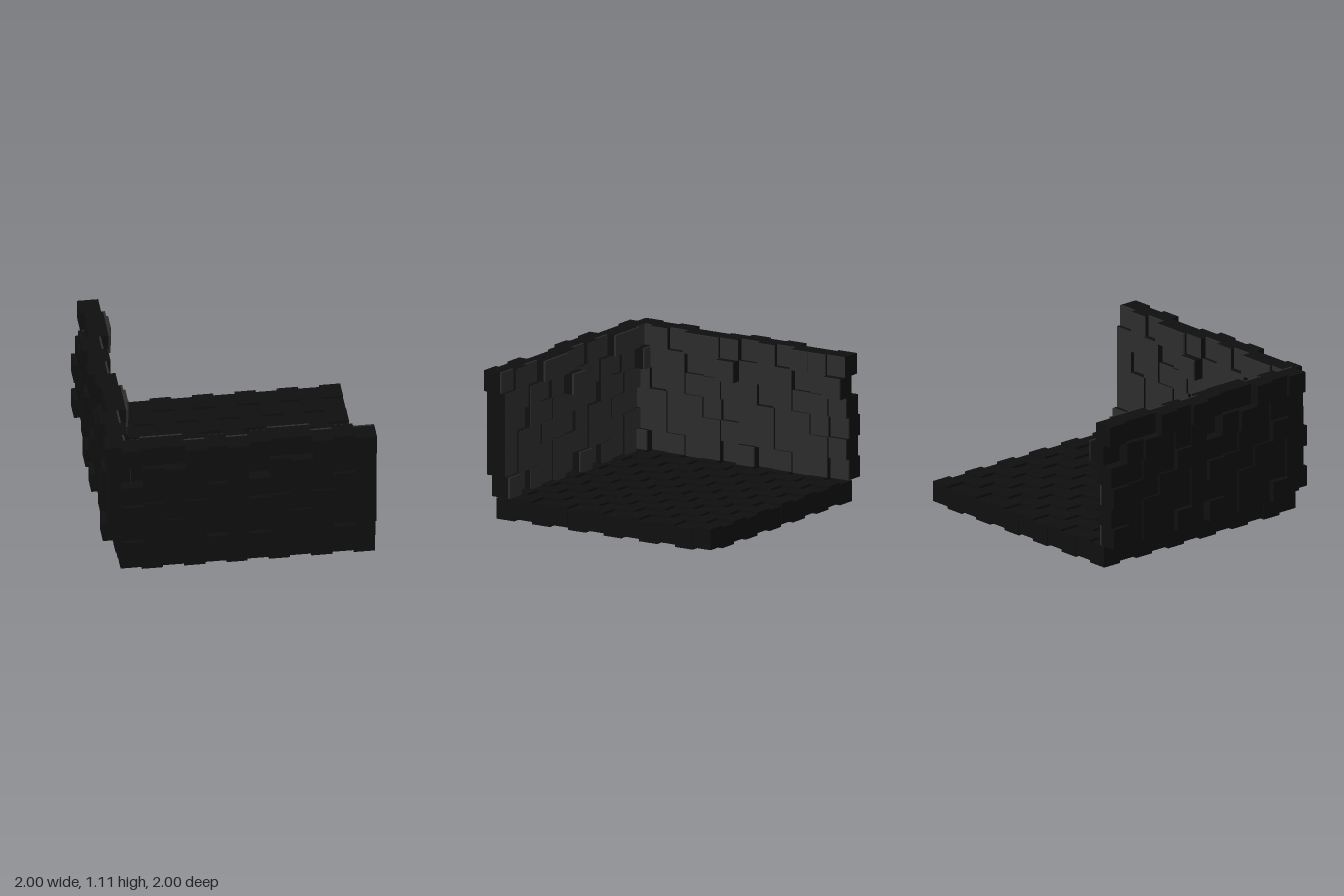
import * as THREE from 'three';

const PITCH = 0.1575, SIZE = 0.157, COUNT = 12;
const START_X = -0.89, START_Z = -1, WALL_BASE = 0.165;

const stone = new THREE.MeshStandardMaterial({ color: 0x0f0f0f });
const facing = new THREE.MeshStandardMaterial({ color: 0x2c2c2c });
const unit = new THREE.BoxGeometry(1, 1, 1);

// Block kinds: how far each is pushed inward, and how thick its inner facing is
const KINDS = {
  A: { push: 0, face: 0.015 },
  C: { push: 0.03, face: 0.002 },
  D: { push: 0.045, face: 0.002 },
  B: { push: 0.073, face: 0.015 },
  P: { push: 0.118, face: 0.015 },
};
// Repeating wall pattern, bottom row first
const PATTERN = ['ADCDAB', 'CDCCDC', 'ACDCDC', 'CDCDAC', 'PCADCC', 'DBBACA'];

function box(name, material, size, position) {
  const mesh = new THREE.Mesh(unit, material);
  mesh.name = name;
  mesh.scale.set(...size);
  mesh.position.set(...position);
  return mesh;
}

// place(along, y, depth) maps wall coordinates to the model; depth grows inward
function makeWall(name, place, orient) {
  const wall = new THREE.Group();
  wall.name = name;
  PATTERN.forEach((row, r) => {
    const y = WALL_BASE + (r + 0.5) * PITCH;
    for (let c = 0; c < COUNT; c++) {
      const { push, face } = KINDS[row[c % row.length]];
      const along = (c + 0.5) * PITCH;
      const body = SIZE - face;
      wall.add(box('wallBlock', stone, orient(SIZE, SIZE, body), place(along, y, push + body / 2)));
      wall.add(box('wallBlockFacing', facing, orient(SIZE, SIZE, face), place(along, y, push + body + face / 2)));
    }
  });
  return wall;
}

// Floor blocks alternate between two heights
function makeFloor() {
  const floor = new THREE.Group();
  floor.name = 'floor';
  for (let i = 0; i < COUNT; i++) {
    for (let j = 0; j < COUNT; j++) {
      const lift = (i + j) % 2 ? 0.0175 : 0;
      floor.add(box('floorBlock', stone, [SIZE, SIZE, SIZE],
        [START_X + (i + 0.5) * PITCH, SIZE / 2 + lift, START_Z + (j + 0.5) * PITCH]));
    }
  }
  return floor;
}

export function createModel() {
  const model = new THREE.Group();
  model.name = 'blockCorner';
  model.add(makeFloor());
  model.add(makeWall('frontWall', (a, y, d) => [START_X + a, y, 1 - d], (w, h, t) => [w, h, t]));
  model.add(makeWall('rightWall', (a, y, d) => [-1 + d, y, START_Z + a], (w, h, t) => [t, h, w]));
  return model;
}
